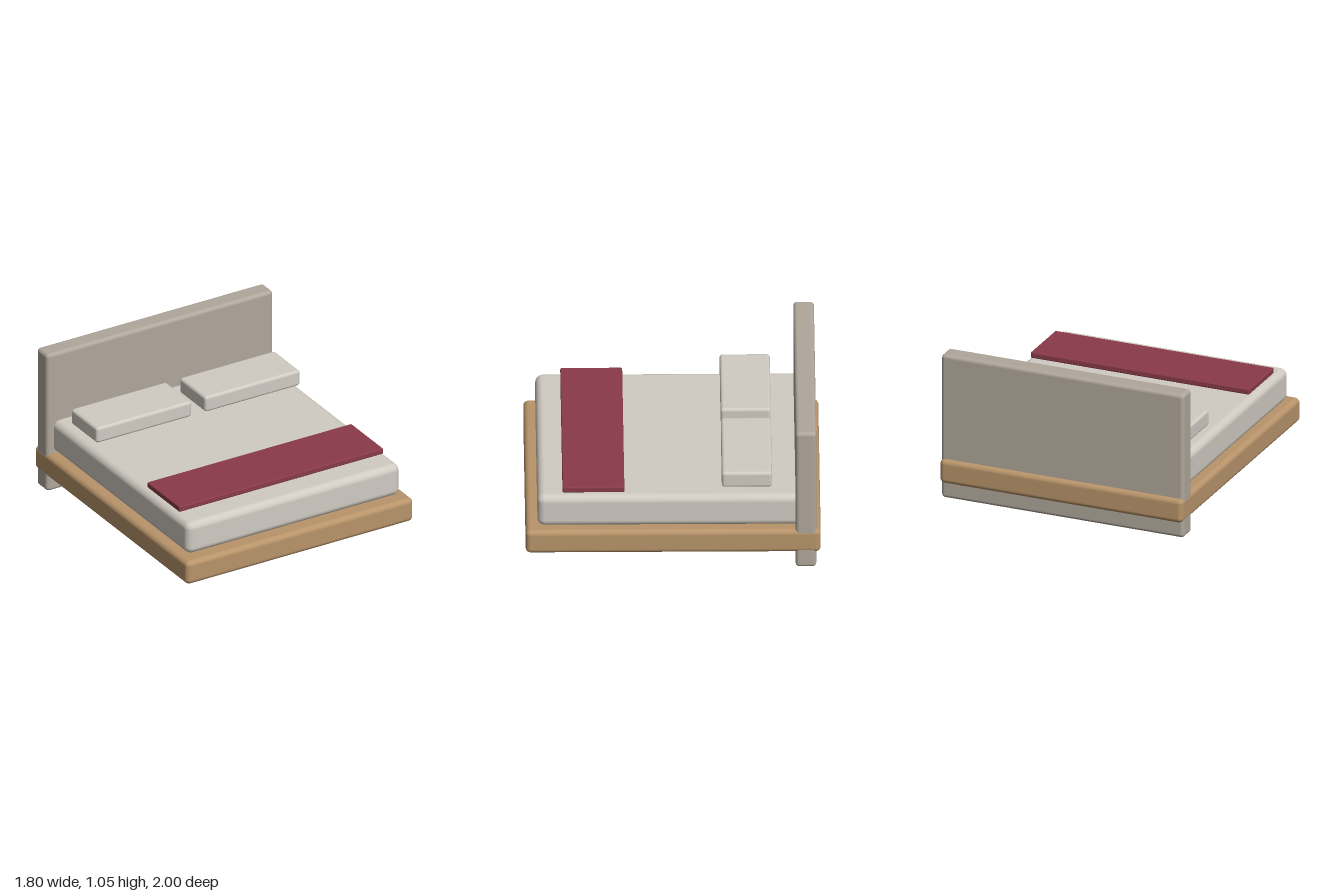
import * as THREE from 'three';
import { RoundedBoxGeometry } from 'three/addons/geometries/RoundedBoxGeometry.js';

const material = (color) => new THREE.MeshStandardMaterial({ color });
const wood = material(0xb8946a);
const upholstery = material(0xb0a79b);
const linen = material(0xd0cbc2);
const burgundy = material(0x8a3a4a);

// Rounded block given by its lower and upper corners
function block(name, min, max, radius, mat) {
  const [w, h, d] = max.map((v, i) => v - min[i]);
  const mesh = new THREE.Mesh(new RoundedBoxGeometry(w, h, d, 4, radius), mat);
  mesh.position.set(...max.map((v, i) => (v + min[i]) / 2));
  mesh.name = name;
  return mesh;
}

export function createModel() {
  const bed = new THREE.Group();
  bed.name = 'bed';

  // Wooden platform and the tall headboard passing through its back end
  bed.add(block('bedBase', [-0.9, 0.115, -1], [0.9, 0.29, 1], 0.035, wood));
  bed.add(block('headboard', [-0.898, 0, -0.97], [0.898, 1.05, -0.83], 0.026, upholstery));

  // Mattress, with the throw laid across its foot end
  bed.add(block('mattress', [-0.845, 0.293, -0.92], [0.845, 0.53, 0.92], 0.05, linen));
  bed.add(block('throwBlanket', [-0.81, 0.543, 0.33], [0.81, 0.585, 0.75], 0.009, burgundy));

  // Pair of pillows
  for (const side of [-1, 1]) {
    const pillow = block('pillow', [0.053, 0.575, -0.67], [0.808, 0.692, -0.33], 0.021, linen);
    pillow.position.x *= side;
    pillow.name = side > 0 ? 'leftPillow' : 'rightPillow';
    bed.add(pillow);
  }

  return bed;
}
